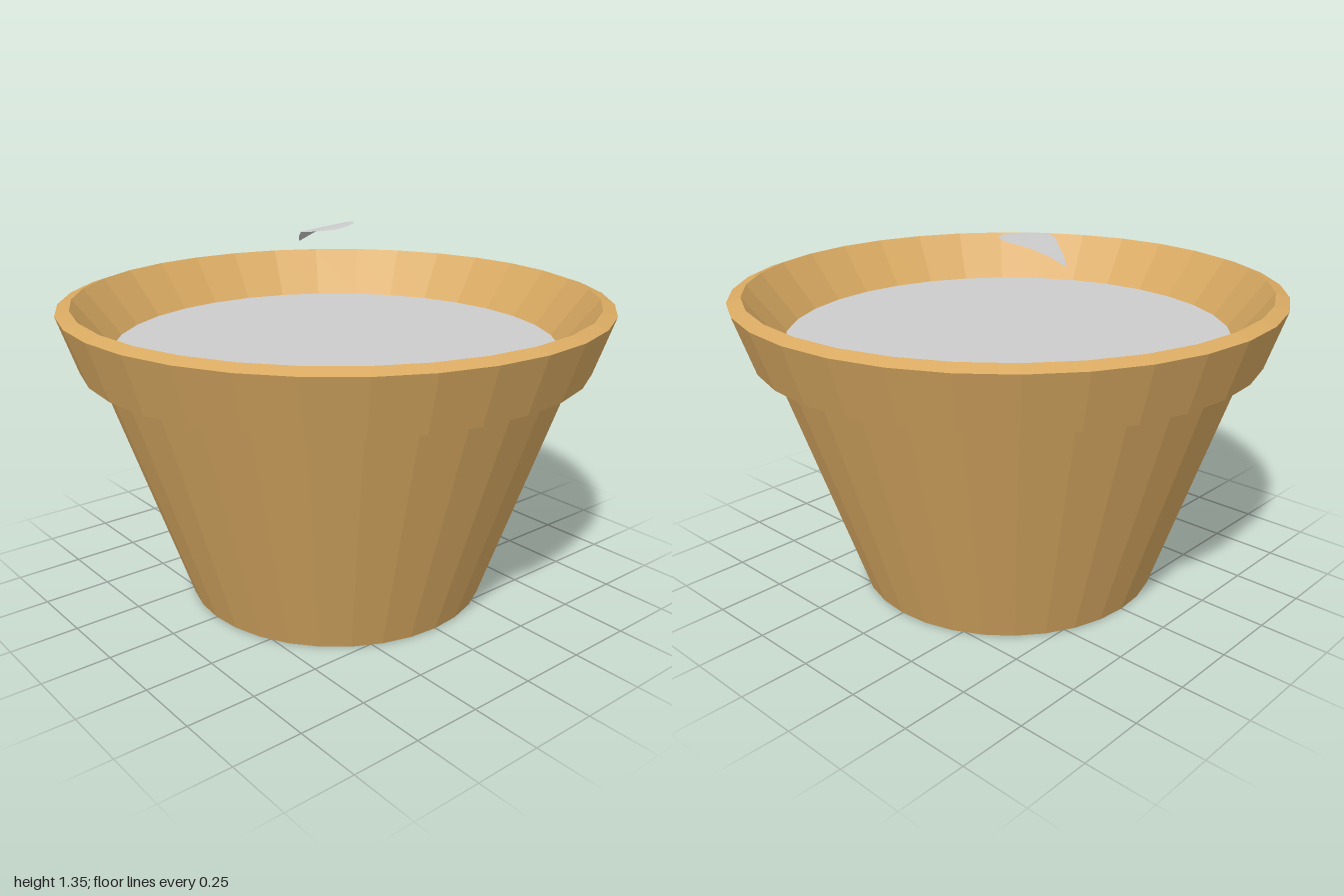
import * as THREE from 'three';

const SIDES = 32;

// Leaf cross-sections from tip to rounded end: x, back z, front z, mid height
const LEAF = [
  [-0.37, -0.12, -0.115, 1.265],
  [-0.33, -0.155, -0.085, 1.294],
  [-0.28, -0.2, -0.055, 1.32],
  [-0.23, -0.24, -0.01, 1.334],
  [-0.19, -0.243, 0, 1.34],
  [-0.15, -0.21, -0.02, 1.343],
  [-0.13, -0.17, -0.055, 1.343],
  [-0.122, -0.13, -0.09, 1.341],
];

function leafGeometry(steps = 6) {
  const pos = [], index = [];
  LEAF.forEach(([x, back, front, y], i) => {
    for (let j = 0; j <= steps; j++) {
      const t = j / steps;
      const z = THREE.MathUtils.lerp(back, front, t);
      // the blade leans down towards the front
      pos.push(x, y - 0.07 * (z + 0.12), z);
      if (i > 0 && j > 0) {
        const d = i * (steps + 1) + j, c = d - 1, b = d - steps - 1, a = b - 1;
        index.push(a, b, d, a, d, c);
      }
    }
  });
  const geo = new THREE.BufferGeometry();
  geo.setAttribute('position', new THREE.Float32BufferAttribute(pos, 3));
  geo.setIndex(index);
  geo.computeVertexNormals();
  return geo;
}

export function createModel() {
  const group = new THREE.Group();
  const clay = new THREE.MeshStandardMaterial({ color: 0xd9aa62, flatShading: true });
  clay.name = 'clay';
  const grey = new THREE.MeshStandardMaterial({ color: 0xcccccc, side: THREE.DoubleSide });
  grey.name = 'pale grey';

  const add = (name, geo, mat) => {
    const mesh = new THREE.Mesh(geo, mat);
    mesh.name = name;
    group.add(mesh);
    return mesh;
  };

  // Tapered pot with an overhanging, bevelled rim and sloping inner wall
  const profile = [
    [0, 0], [0.565, 0], [0.87, 0.905], [0.93, 0.905],
    [1, 1.113], [0.95, 1.13], [0.815, 0.955],
  ].map(([r, y]) => new THREE.Vector2(r, y));
  add('pot', new THREE.LatheGeometry(profile, SIDES), clay);

  // Soil disc filling the pot
  const soil = add('soil', new THREE.CircleGeometry(0.817, SIDES), grey);
  soil.rotation.x = -Math.PI / 2;
  soil.position.y = 0.955;

  // Single curled leaf above the soil
  add('leaf', leafGeometry(), grey);

  return group;
}
